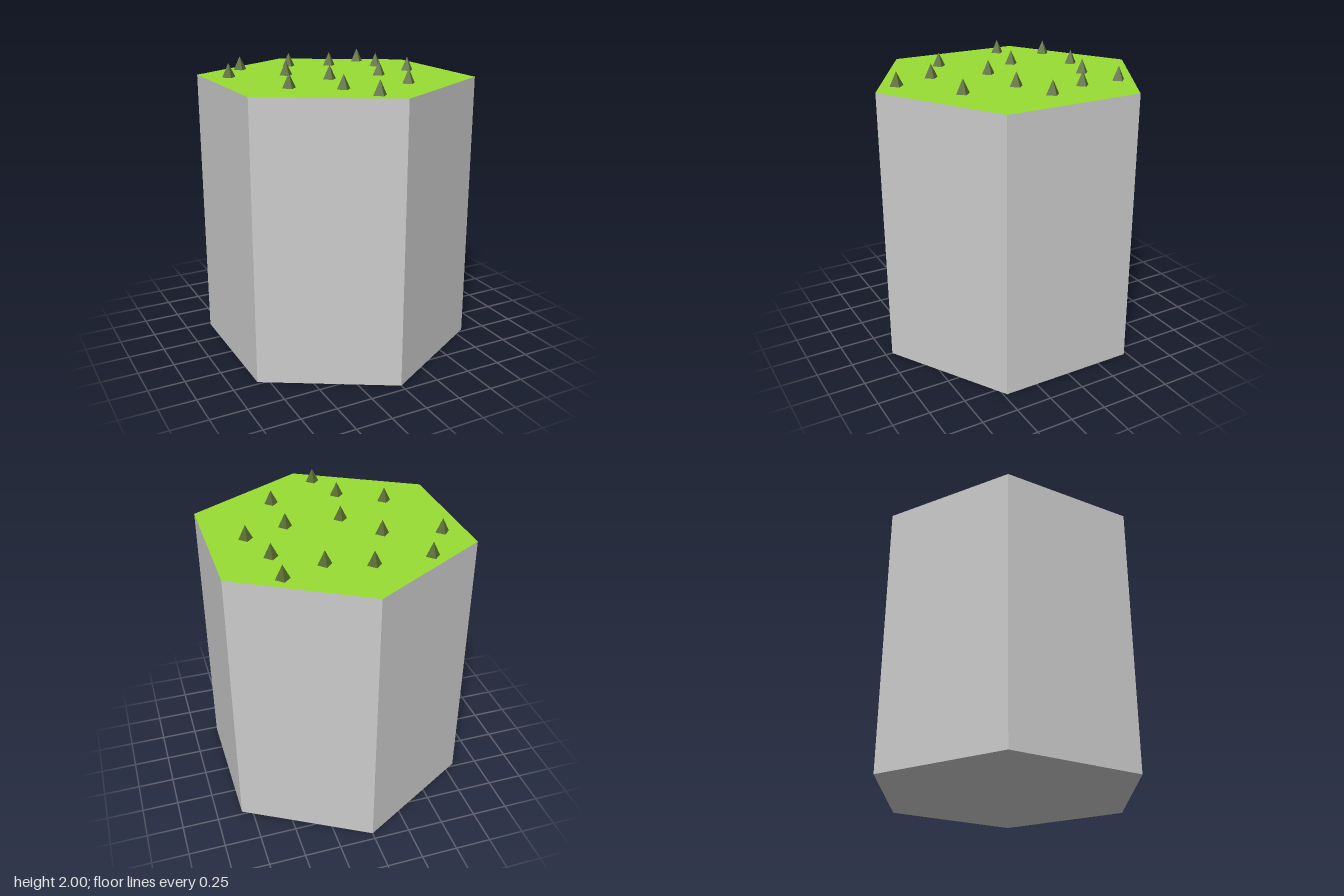
import * as THREE from 'three';

const RADIUS = 0.952, HEIGHT = 1.905, TREE = 0.0953;

// Tree positions [x, z]
const TREES = [
  [-0.477, -0.562], [-0.095, -0.562], [0.19, -0.467], [0.477, -0.562],
  [-0.667, -0.276], [0.477, -0.276], [-0.286, -0.181], [0.572, 0.01],
  [-0.095, 0.105], [0.286, 0.105], [-0.477, 0.296], [-0.19, 0.486],
  [0.286, 0.486], [-0.095, 0.772],
];

function addMesh(parent, name, geometry, material) {
  const mesh = new THREE.Mesh(geometry, material);
  mesh.name = name;
  parent.add(mesh);
  return mesh;
}

export function createModel() {
  const model = new THREE.Group();
  model.name = 'forestHexTile';

  const stone = new THREE.MeshStandardMaterial({ color: 0xcccccc, flatShading: true });
  const grass = new THREE.MeshStandardMaterial({ color: 0x99dd33, flatShading: true });
  const foliage = new THREE.MeshStandardMaterial({ color: 0x556b2f, flatShading: true });

  // Hexagonal column with a corner pointing to the front
  const walls = new THREE.CylinderGeometry(RADIUS, RADIUS, HEIGHT, 6, 1, true);
  addMesh(model, 'columnWalls', walls, stone).position.y = HEIGHT / 2;

  // Closing faces: grey underside and grass top
  const hexagon = new THREE.CircleGeometry(RADIUS, 6, Math.PI / 2);
  addMesh(model, 'columnBase', hexagon, stone).rotation.x = Math.PI / 2;
  const top = addMesh(model, 'grassTop', hexagon, grass);
  top.rotation.x = -Math.PI / 2;
  top.position.y = HEIGHT;

  // Small four-sided trees scattered over the grass
  const trees = new THREE.Group();
  trees.name = 'trees';
  model.add(trees);
  const cone = new THREE.ConeGeometry(TREE / 2, TREE, 4);
  for (const [x, z] of TREES) {
    addMesh(trees, 'tree', cone, foliage).position.set(x, HEIGHT + TREE / 2, z);
  }
  return model;
}
